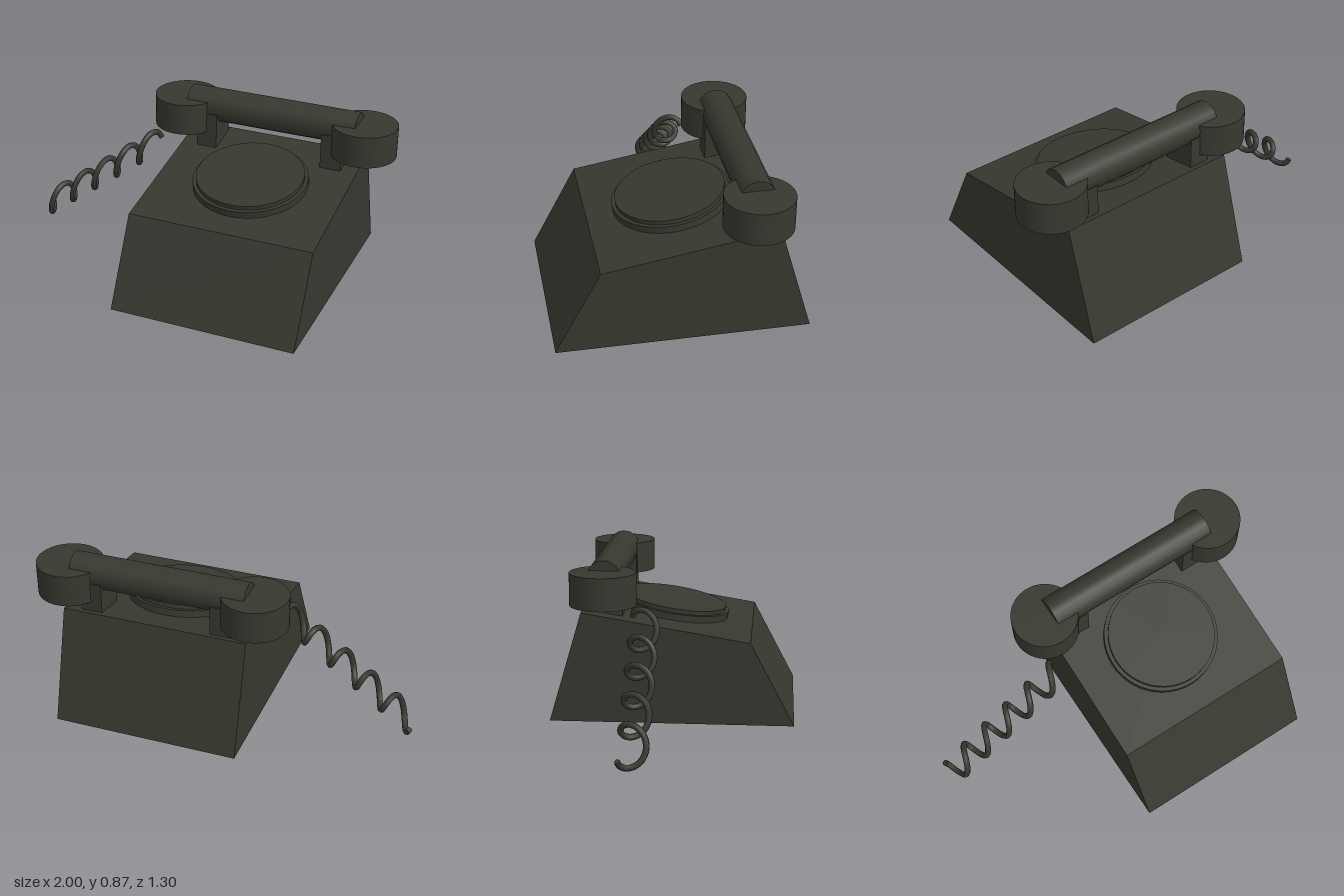
import * as THREE from 'three';

const CENTER_X = 0.315;
const HANDSET_Z = -0.355;

export function createModel() {
  const model = new THREE.Group();
  model.name = 'telephone';
  const bakelite = new THREE.MeshStandardMaterial({ color: 0x38372f });
  bakelite.name = 'dark bakelite';

  const add = (name, geometry, x = 0, y = 0, z = 0, parent = model) => {
    const mesh = new THREE.Mesh(geometry, bakelite);
    mesh.name = name;
    mesh.position.set(x, y, z);
    parent.add(mesh);
    return mesh;
  };

  // Wedge-shaped body: side profile (z, y) extruded across x
  const profile = new THREE.Shape([
    [0.65, 0], [0.415, 0.445], [-0.475, 0.593], [-0.65, 0],
  ].map(([z, y]) => new THREE.Vector2(z, y)));
  const bodyGeometry = new THREE.ExtrudeGeometry(profile, { depth: 1, bevelEnabled: false });
  bodyGeometry.rotateY(-Math.PI / 2);
  add('body', bodyGeometry, CENTER_X + 0.5);

  // Two stacked discs lying on the sloping top
  const dial = new THREE.Group();
  dial.name = 'dial';
  dial.position.set(CENTER_X, 0.518, -0.025);
  dial.rotation.x = Math.atan2(0.148, 0.89);
  model.add(dial);
  add('dialBase', new THREE.CylinderGeometry(0.305, 0.305, 0.05, 48), 0, 0.012, 0, dial);
  add('dialFace', new THREE.CylinderGeometry(0.285, 0.285, 0.05, 48), 0, 0.035, 0, dial);

  // Cradle posts and the cups above them, mirrored about the body centre
  for (const [side, s] of [['right', -1], ['left', 1]]) {
    add(side + 'CradlePost', new THREE.BoxGeometry(0.115, 0.25, 0.18), CENTER_X + s * 0.355, 0.625, HANDSET_Z);
    add(side + 'HandsetCup', new THREE.CylinderGeometry(0.175, 0.175, 0.173, 48), CENTER_X + s * 0.507, 0.727, HANDSET_Z);
  }

  // Handset grip
  const grip = add('handsetGrip', new THREE.CylinderGeometry(0.09, 0.09, 0.95, 16), CENTER_X, 0.777, HANDSET_Z);
  grip.rotation.z = Math.PI / 2;

  // Coiled cord: a rising helix of five turns
  const turns = 5;
  const coil = 0.066;
  const points = [];
  for (let i = 0; i <= turns * 16; i++) {
    const t = i / (turns * 16);
    const a = t * turns * Math.PI * 2;
    points.push(new THREE.Vector3(
      -0.985 + 0.71 * t,
      0.062 + 0.54 * t - coil * Math.sin(a),
      -0.125 - coil * Math.cos(a),
    ));
  }
  const path = new THREE.CatmullRomCurve3(points);
  add('coiledCord', new THREE.TubeGeometry(path, 160, 0.016, 8));

  // Cord end caps
  for (const [name, t, s] of [['cordStartCap', 0, -1], ['cordEndCap', 1, 1]]) {
    const cap = add(name, new THREE.CircleGeometry(0.016, 8), ...path.getPointAt(t).toArray());
    const outward = path.getTangentAt(t).multiplyScalar(s);
    cap.quaternion.setFromUnitVectors(new THREE.Vector3(0, 0, 1), outward);
  }

  return model;
}
